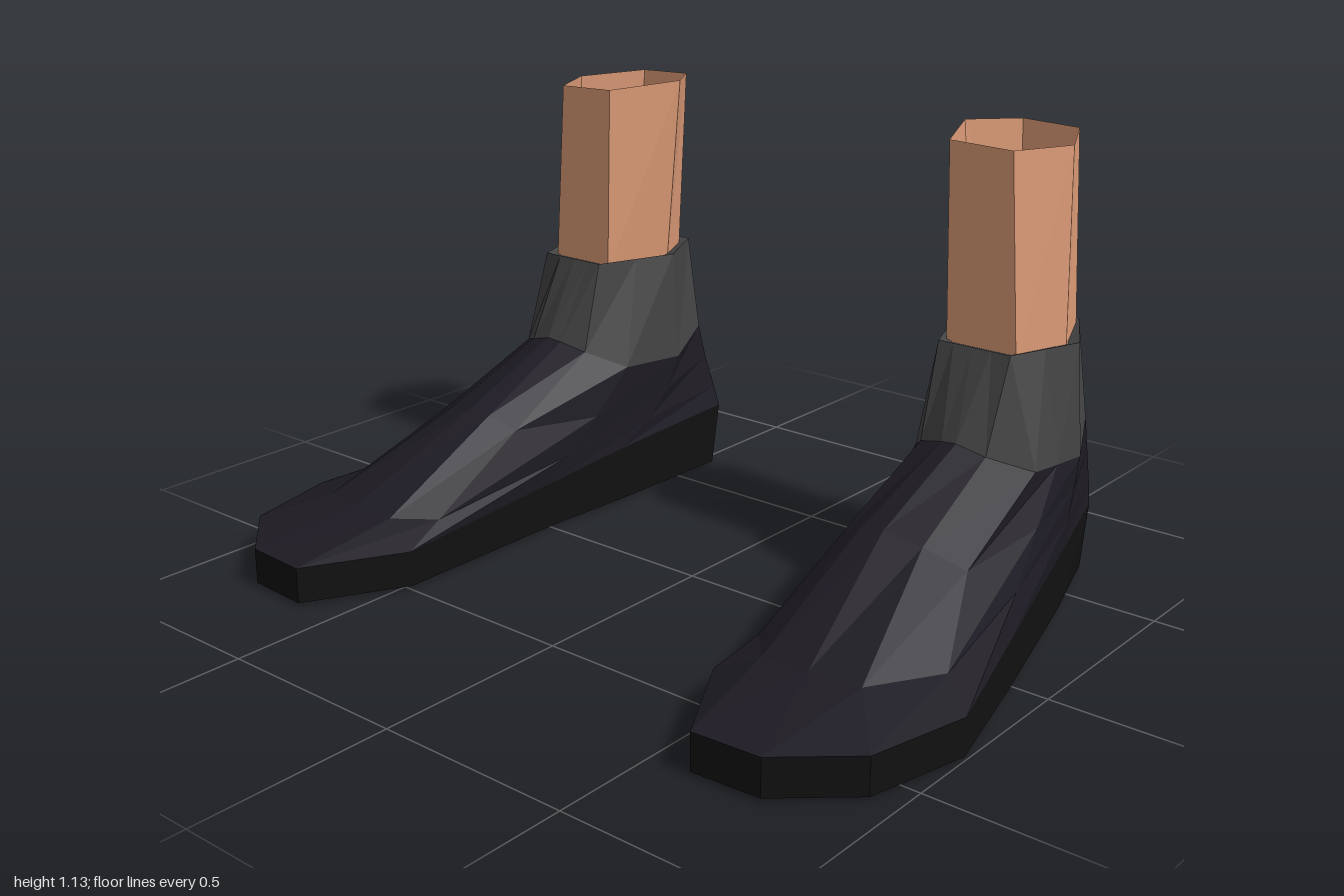
import * as THREE from 'three';

// Cross-section rings of the left foot as [x, y, z], from inner toe via the outer side and heel
const soleTop = [
  [0.61, 0.10, 0.74], [0.78, 0.10, 0.73], [0.94, 0.10, 0.59], [1.0, 0.10, 0.34],
  [0.92, 0.13, 0.03], [0.80, 0.155, -0.40], [0.72, 0.17, -0.68], [0.57, 0.175, -0.74],
  [0.45, 0.175, -0.66], [0.46, 0.155, -0.25], [0.475, 0.13, 0.0], [0.475, 0.10, 0.50],
];
const toeBox = [
  [0.58, 0.15, 0.47], [0.70, 0.155, 0.47], [0.82, 0.15, 0.45], [0.91, 0.14, 0.27],
  [0.88, 0.20, -0.05], [0.80, 0.23, -0.42], [0.72, 0.23, -0.67], [0.58, 0.235, -0.715],
  [0.465, 0.23, -0.655], [0.457, 0.21, -0.36], [0.47, 0.19, -0.06], [0.50, 0.14, 0.38],
];
const instep = [
  [0.58, 0.325, 0.12], [0.64, 0.335, 0.12], [0.73, 0.315, 0.10], [0.82, 0.27, 0.06],
  [0.84, 0.29, -0.20], [0.795, 0.30, -0.45], [0.72, 0.32, -0.65], [0.59, 0.325, -0.675],
  [0.485, 0.32, -0.64], [0.455, 0.28, -0.44], [0.465, 0.27, -0.16], [0.515, 0.29, 0.09],
];
const collar = [
  [0.60, 0.45, -0.17], [0.64, 0.455, -0.165], [0.71, 0.435, -0.18], [0.80, 0.40, -0.25],
  [0.795, 0.385, -0.36], [0.79, 0.37, -0.48], [0.72, 0.41, -0.63], [0.60, 0.41, -0.635],
  [0.50, 0.41, -0.63], [0.45, 0.365, -0.48], [0.46, 0.38, -0.28], [0.53, 0.43, -0.19],
];
const cuff = [
  [0.57, -0.25], [0.62, -0.25], [0.67, -0.25], [0.72, -0.25], [0.755, -0.345], [0.79, -0.44],
  [0.69, -0.62], [0.61, -0.62], [0.53, -0.62], [0.45, -0.46], [0.49, -0.355], [0.53, -0.25],
].map(([x, z]) => [x, 0.66, z]);

// Flat sole underside, tucked in at the heel
const soleBottom = soleTop.map(([x, , z]) => [x, 0.01, z < -0.6 ? z + 0.03 : z]);
// Cuff rim folded in to meet the leg
const cuffInner = cuff.map(([x, , z]) => [0.62 + (x - 0.62) * 0.82, 0.65, -0.44 + (z + 0.44) * 0.83]);

const legBottom = [
  [0.53, 0.63, -0.285], [0.715, 0.63, -0.285], [0.762, 0.63, -0.43],
  [0.70, 0.63, -0.59], [0.54, 0.63, -0.59], [0.485, 0.63, -0.475],
];
const legTop = [
  [0.515, 1.12, -0.285], [0.68, 1.115, -0.285], [0.75, 1.115, -0.43],
  [0.67, 1.12, -0.60], [0.52, 1.125, -0.60], [0.437, 1.13, -0.475],
];

const material = (color) => new THREE.MeshStandardMaterial({
  color, flatShading: true, roughness: 0.9, side: THREE.DoubleSide,
});
const materials = {
  sole: material(0x111112), upper: material(0x1d1a23), sock: material(0x444444), leg: material(0xdb9a76),
};

// Skins successive rings; an optional centre point closes the first ring
function loft(name, mat, side, rings, centre) {
  const place = ([x, y, z]) => [x * side, y, z];
  const loops = rings.map((r) => (side > 0 ? r.map(place) : r.map(place).reverse()));
  const pos = [];
  const tri = (...p) => p.forEach((v) => pos.push(...v));
  const n = loops[0].length;
  for (let i = 0; i < n; i++) {
    const j = (i + 1) % n;
    for (let k = 0; k + 1 < loops.length; k++) {
      const low = loops[k], up = loops[k + 1];
      tri(low[i], low[j], up[j]);
      tri(low[i], up[j], up[i]);
    }
    if (centre) tri(place(centre), loops[0][j], loops[0][i]);
  }
  const geo = new THREE.BufferGeometry();
  geo.setAttribute('position', new THREE.Float32BufferAttribute(pos, 3));
  geo.computeVertexNormals();
  const mesh = new THREE.Mesh(geo, mat);
  mesh.name = name;
  return mesh;
}

function makeFoot(name, side) {
  const foot = new THREE.Group();
  foot.name = name;
  foot.add(
    loft('sole', materials.sole, side, [soleBottom, soleTop], [0.68, 0, 0.06]),
    loft('shoeUpper', materials.upper, side, [soleTop, toeBox, instep, collar]),
    loft('ankleSock', materials.sock, side, [collar, cuff, cuffInner]),
    loft('lowerLeg', materials.leg, side, [legBottom, legTop]),
  );
  return foot;
}

export function createModel() {
  const model = new THREE.Group();
  model.name = 'pairOfShoes';
  model.add(makeFoot('leftFoot', 1), makeFoot('rightFoot', -1));
  return model;
}
